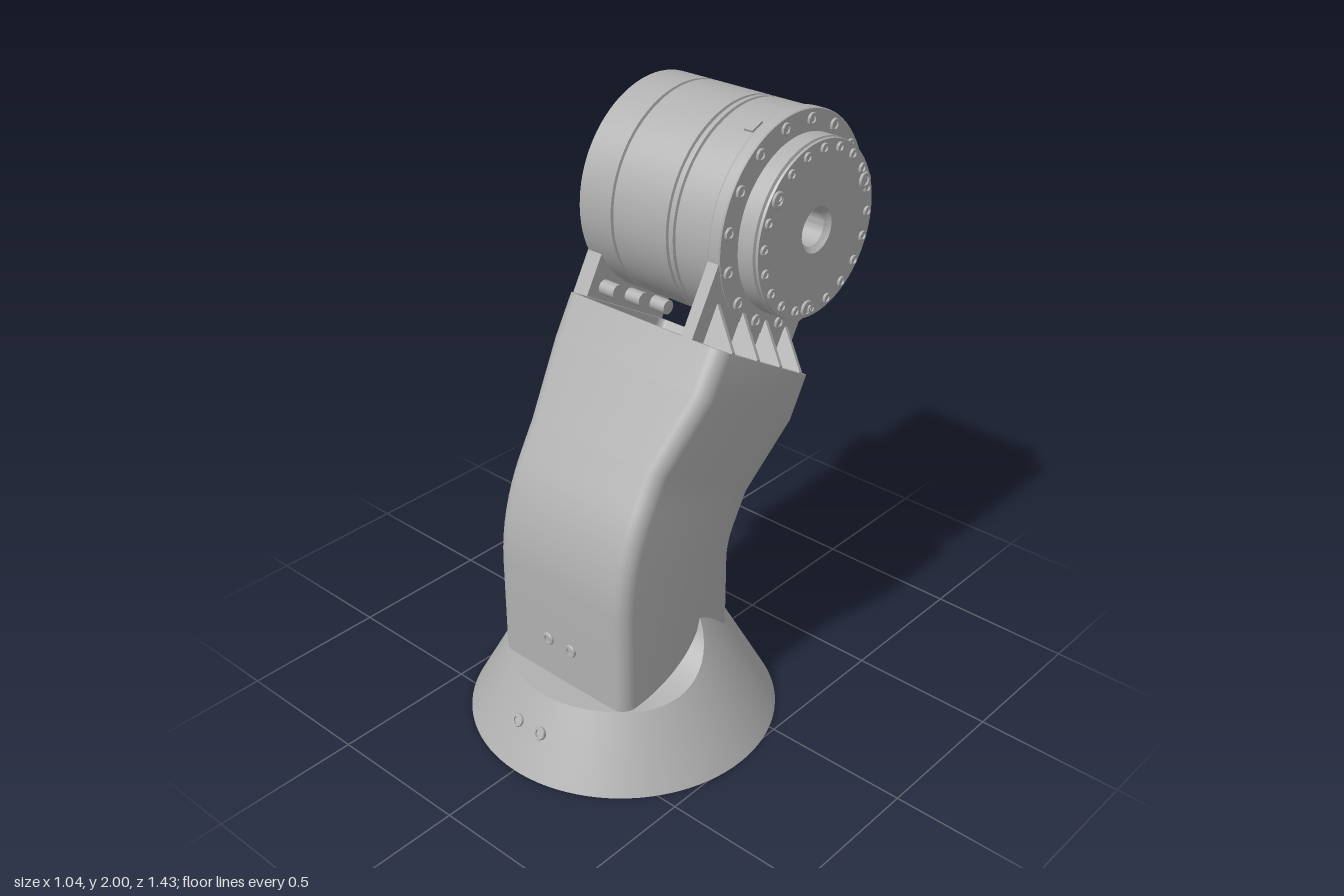
import * as THREE from 'three';
import { toCreasedNormals } from 'three/addons/utils/BufferGeometryUtils.js';

const grey = new THREE.MeshStandardMaterial({ color: 0xb0b0b0 });
grey.name = 'satin grey';
const TILT = Math.PI / 6;
const AXIS_Y = 1.64, AXIS_Z = -0.353;

function add(parent, geo, name, x = 0, y = 0, z = 0) {
  const m = new THREE.Mesh(geo, grey);
  m.name = name;
  m.position.set(x, y, z);
  parent.add(m);
  return m;
}

// Skin a list of closed rings; capped loops join the last ring to the first
function loft(rings) {
  const n = rings[0].length, pos = [], idx = [];
  rings.forEach(r => r.forEach(p => pos.push(...p)));
  for (let i = 0; i < rings.length; i++) {
    const k = (i + 1) % rings.length;
    for (let j = 0; j < n; j++) {
      const a = i * n + j, b = i * n + (j + 1) % n;
      const d = k * n + j, c = k * n + (j + 1) % n;
      idx.push(a, b, c, a, c, d);
    }
  }
  const g = new THREE.BufferGeometry();
  g.setAttribute('position', new THREE.Float32BufferAttribute(pos, 3));
  g.setIndex(idx);
  return toCreasedNormals(g, 0.5);
}

// Small socket screw facing along dir
const screwProfile = [[0, 0.002], [0.6, 0.002], [0.6, 0.008], [0.9, 0.008], [1, 0.005], [1, -0.01]];
function screw(parent, x, y, z, dir, r) {
  const pts = screwProfile.map(([a, b]) => new THREE.Vector2(a * r, b)).reverse();
  const m = add(parent, toCreasedNormals(new THREE.LatheGeometry(pts, 14), 0.5), 'screw', x, y, z);
  m.quaternion.setFromUnitVectors(new THREE.Vector3(0, 1, 0), new THREE.Vector3(...dir).normalize());
}

// Conical foot with a front pocket, a flat cut at the back and a hollow underside
function buildBase() {
  const N = 96, CZ = 0.2;
  const radius = y => 0.52 - 0.545 * y;
  const rim = z => {
    const t = Math.min(1, Math.max(0, (0.45 - z) / 0.32));
    return 0.44 - 0.2 * Math.sqrt(1 - t * t);
  };
  const ring = f => Array.from({ length: N }, (_, j) => {
    const a = j / N * Math.PI * 2;
    return f(Math.cos(a), -Math.sin(a));
  });
  const flat = (r, y, zMin = -9) => ring((c, s) => [r * c, y, Math.max(zMin, CZ + r * s)]);
  const topAt = s => {
    let lo = 0.24, hi = 0.44;
    for (let i = 0; i < 24; i++) {
      const y = (lo + hi) / 2;
      if (y < rim(CZ + radius(y) * s)) lo = y; else hi = y;
    }
    return lo;
  };
  const rings = [flat(0.2, 0.14, 0.045), flat(0.2, 0.04, 0.045), flat(0.3, 0.04), flat(0.31, 0.08),
    flat(0.47, 0.08), flat(0.49, 0)];
  for (let i = 0; i <= 12; i++) {
    rings.push(ring((c, s) => {
      const y = topAt(s) * i / 12;
      return [radius(y) * c, y, Math.max(CZ + radius(y) * s, -0.03 - 0.8 * (0.44 - y))];
    }));
  }
  for (let i = 1; i <= 6; i++) {
    rings.push(ring((c, s) => {
      const r0 = radius(topAt(s)), r = r0 + (0.26 - r0) * i / 6;
      const z = Math.max(CZ + r * s, -0.03 + 0.015 * i / 6);
      return [r * c, rim(z), z];
    }));
  }
  rings.push(flat(0.26, 0.14, -0.015));
  return loft(rings);
}

// Hollow bent arm: rounded rectangles swept up, around the bend and out to the flare
function buildArm() {
  const W = 0.525, stations = [];
  const put = (y, a, d, k) => stations.push({ y, a, d, k });
  put(0.13, 0, 0, 0);
  for (let i = 0; i <= 8; i++) put(0.58, TILT * i / 8, 0, 0);
  put(0.58, TILT, 0.12, 0);
  put(0.58, TILT, 0.387, 1);
  put(0.58, TILT, 0.539, 1);
  const section = ({ y, a, d, k }, t) => {
    const x0 = -0.28 - 0.02 * k + t, x1 = 0.28 + 0.065 * k - t, s0 = t, s1 = W - t;
    const r = 0.05 - t * 0.8;
    const corners = [[x1 - r, s1 - r], [x0 + r, s1 - r], [x0 + r, s0 + r], [x1 - r, s0 + r]];
    const out = [];
    corners.forEach(([cx, cs], q) => {
      for (let i = 0; i <= 6; i++) {
        const b = (q + i / 6) * Math.PI / 2;
        const R = 0.735 - (cs + r * Math.sin(b));
        out.push([cx + r * Math.cos(b), y + R * Math.sin(a) + d * Math.cos(a),
          -0.24 + R * Math.cos(a) - d * Math.sin(a)]);
      }
    });
    return out;
  };
  return loft([...stations.map(s => section(s, 0)), ...stations.reverse().map(s => section(s, 0.03))]);
}

// Turned motor housing with grooves, flange, output disc and through bore
function buildMotor() {
  const groove = x => [[0.355, x - 0.006], [0.345, x - 0.004], [0.345, x + 0.004], [0.355, x + 0.006]];
  const p = [[0.058, -0.415], [0.07, -0.415], [0.075, -0.41], [0.075, -0.375], [0.066, -0.372], [0.066, -0.365],
    [0.085, -0.365], [0.085, -0.355], [0.35, -0.355], [0.355, -0.35],
    ...groove(-0.21), ...groove(0.02), ...groove(0.048),
    [0.355, 0.183], [0.357, 0.185], [0.36, 0.19], [0.36, 0.227], [0.357, 0.231], [0.3, 0.231],
    [0.275, 0.231], [0.275, 0.243], [0.29, 0.243], [0.29, 0.3], [0.28, 0.303], [0.28, 0.308],
    [0.288, 0.31], [0.286, 0.317], [0.075, 0.317], [0.068, 0.308], [0.058, 0.3], [0.058, -0.415]];
  const g = new THREE.LatheGeometry(p.map(([r, x]) => new THREE.Vector2(r, x)), 80);
  g.rotateZ(-Math.PI / 2);
  return toCreasedNormals(g, 0.4);
}

// Triangular gusset between arm top and bracket plate
function buildRib() {
  const s = new THREE.Shape([[0.22, 0], [0.34, 0], [0.34, 0.01], [0.22, 0.14]].map(p => new THREE.Vector2(...p)));
  return new THREE.ExtrudeGeometry(s, { depth: 0.016, bevelEnabled: false });
}

export function createModel() {
  const model = new THREE.Group();
  model.name = 'robotArmJoint';

  // Foot and its screws
  add(model, buildBase(), 'base');
  for (const x of [-0.05, 0.05]) {
    screw(model, x, 0.135, 0.646, [0, 0.48, 0.88], 0.022);
    screw(model, x, 0.38, 0.495, [0, 0, 1], 0.022);
    screw(model, x, 0.36, -0.094, [0, 0.62, -0.78], 0.022);
    screw(model, x, 0.14, -0.244, [0, 0.48, -0.88], 0.022);
  }
  for (let i = 0; i < 16; i++) {
    const a = i / 16 * Math.PI * 2;
    screw(model, 0.255 * Math.cos(a), 0.04, 0.2 + 0.255 * Math.sin(a), [0, -1, 0], 0.014);
  }

  add(model, buildArm(), 'arm');

  // Brackets in the tilted frame of the arm's upper end
  const head = new THREE.Group();
  head.name = 'motorBracket';
  head.position.set(0, 1.414, 0.127);
  head.rotation.x = -TILT;
  model.add(head);
  add(head, new THREE.BoxGeometry(0.042, 0.27, 0.52), 'flangePlate', 0.208, 0.1, -0.262);
  add(head, new THREE.BoxGeometry(0.145, 0.03, 0.46), 'bracketShelf', 0.262, -0.018, -0.262);
  for (const s of [0.07, 0.21, 0.34, 0.46]) add(head, buildRib(), 'rib', 0, -0.005, -s - 0.008);
  add(head, new THREE.BoxGeometry(0.06, 0.38, 0.416), 'sidePlate', -0.323, 0.018, -0.312);
  for (const s of [0.17, 0.31, 0.45]) {
    screw(head, -0.353, -0.1, -s, [-1, 0, 0], 0.028);
    const pin = add(head, new THREE.CylinderGeometry(0.025, 0.025, 0.07, 16), 'pin', -0.265, 0.045, -s);
    pin.rotation.z = Math.PI / 2;
  }

  // Motor
  const motor = new THREE.Group();
  motor.name = 'motor';
  motor.position.set(0, AXIS_Y, AXIS_Z);
  model.add(motor);
  add(motor, buildMotor(), 'motorHousing');
  const around = (n, offset, r, f) => {
    for (let i = 0; i < n; i++) {
      const a = offset + i / n * Math.PI * 2;
      f(r * Math.sin(a), r * Math.cos(a), a);
    }
  };
  around(16, Math.PI / 16, 0.325, (y, z) => screw(motor, 0.231, y, z, [1, 0, 0], 0.021));
  around(20, 0.06, 0.26, (y, z) => screw(motor, 0.317, y, z, [1, 0, 0], 0.017));
  around(3, 2.76, 0.255, (y, z) => screw(motor, 0.317, y, z, [1, 0, 0], 0.028));
  around(6, 0.3, 0.3, (y, z) => screw(motor, -0.355, y, z, [-1, 0, 0], 0.016));
  around(4, 1.19, 0.353, (y, z, a) => {
    add(motor, new THREE.BoxGeometry(0.034, 0.05, 0.016), 'tab', 0.163, y, z).rotation.x = -a;
  });

  // Connectors on the rear cap
  add(motor, new THREE.BoxGeometry(0.045, 0.1, 0.07), 'connector', -0.375, -0.19, -0.07).rotation.x = -0.4;
  add(motor, new THREE.BoxGeometry(0.03, 0.09, 0.03), 'cableClip', -0.365, -0.11, 0.03).rotation.x = 0.5;
  return model;
}
